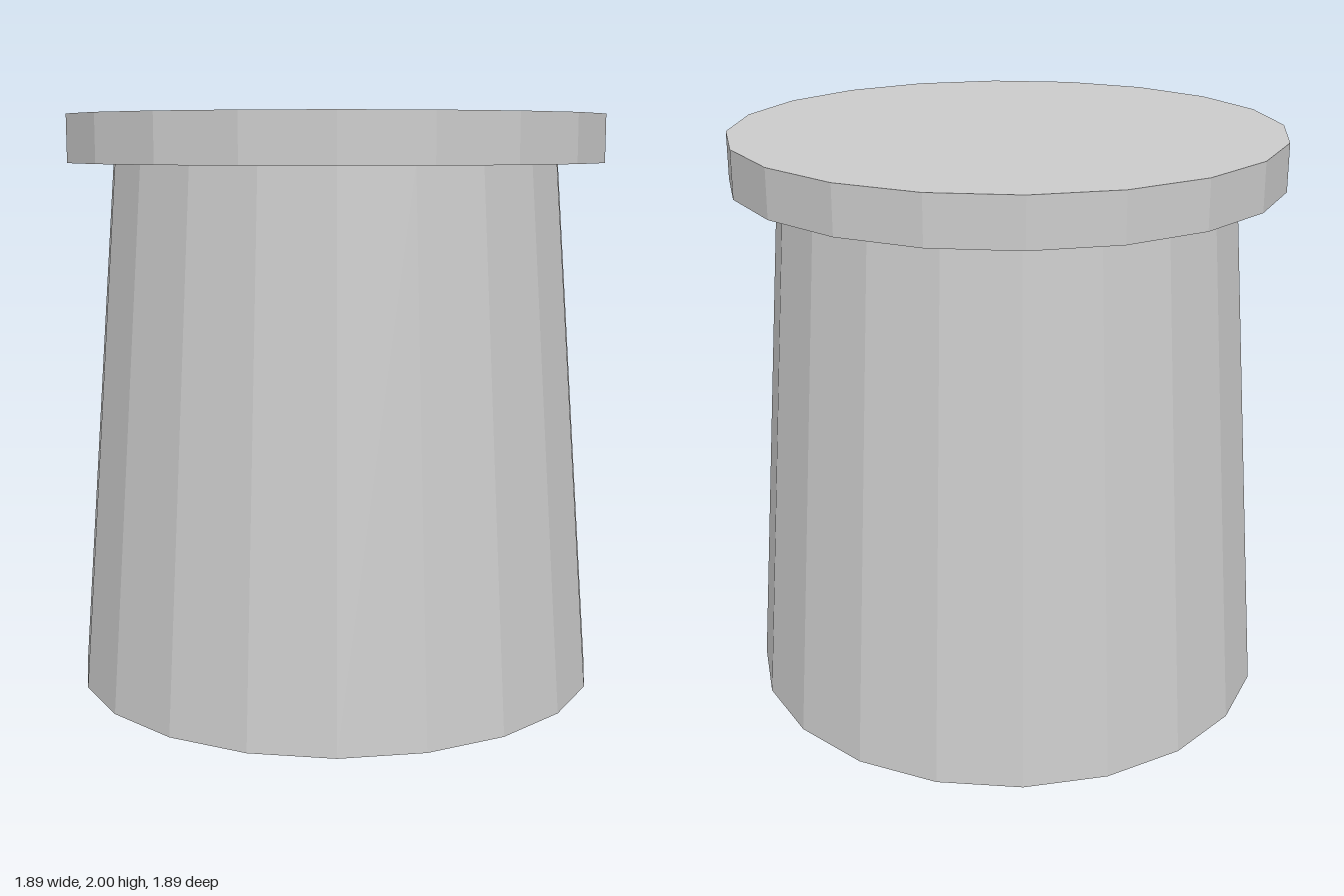
import * as THREE from 'three';

const SIDES = 20;

export function createModel() {
  const group = new THREE.Group();
  const material = new THREE.MeshStandardMaterial({ color: 0xcccccc, flatShading: true });

  // Faceted drum standing between two heights
  function drum(name, topRadius, bottomRadius, y0, y1) {
    const geometry = new THREE.CylinderGeometry(topRadius, bottomRadius, y1 - y0, SIDES);
    const mesh = new THREE.Mesh(geometry, material);
    mesh.name = name;
    mesh.position.y = (y0 + y1) / 2;
    group.add(mesh);
  }

  // Tapered body, closed at the bottom
  drum('body', 0.785, 0.925, 0, 1.837);
  // Overhanging flat lid
  drum('lid', 0.946, 0.946, 1.837, 2);

  return group;
}
